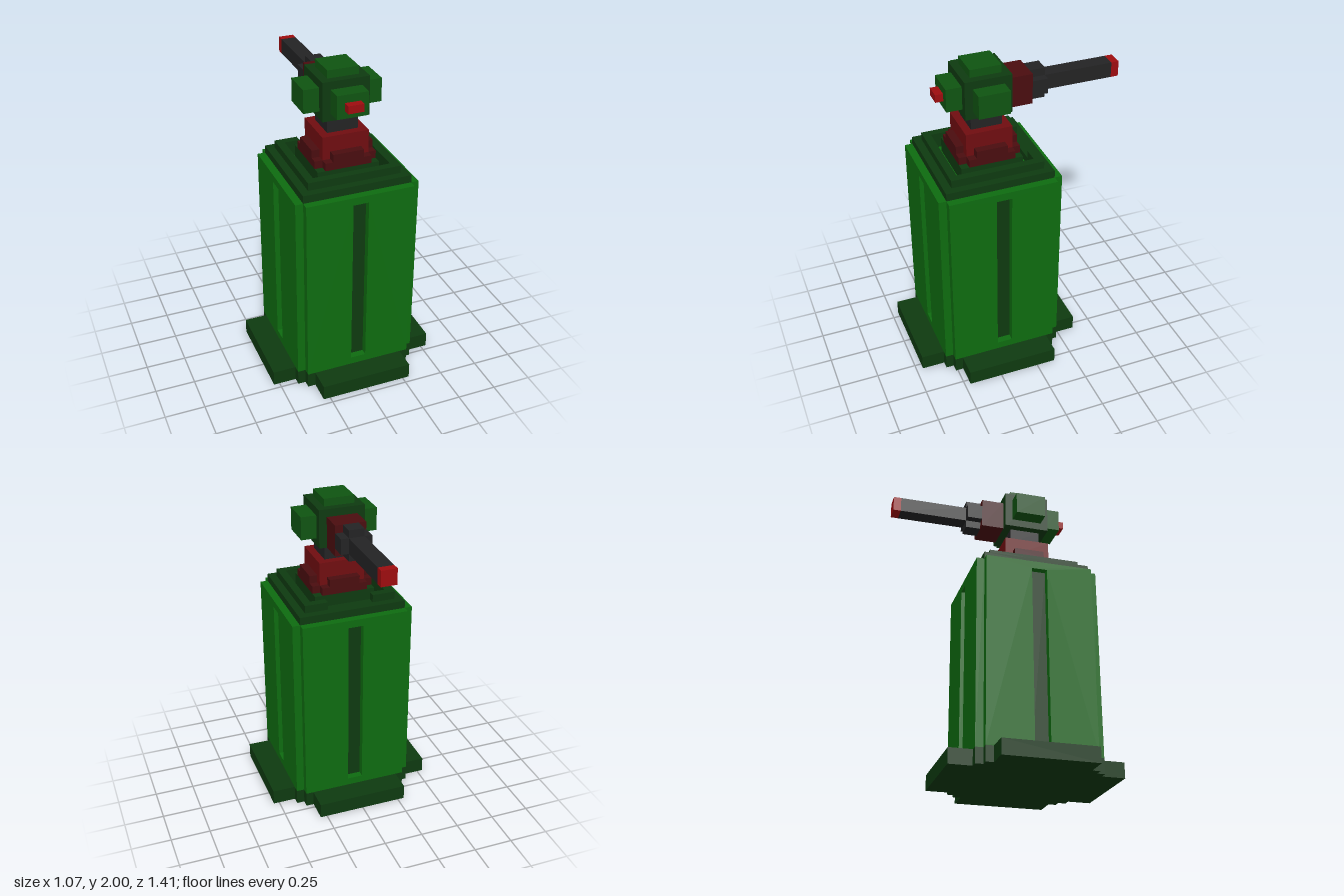
import * as THREE from 'three';

const U = 2 / 41; // one block of the grid; all sizes below are in blocks

const paint = (name, color) => {
  const m = new THREE.MeshStandardMaterial({ color });
  m.name = name;
  return m;
};

export function createModel() {
  const green = paint('leaf green', 0x0e6c10);
  const midGreen = paint('mid green', 0x0f5411);
  const darkGreen = paint('dark green', 0x0e3a10);
  const red = paint('red', 0x700d10);
  const darkRed = paint('dark red', 0x4a0d0f);
  const brightRed = paint('bright red', 0x9e0c0f);
  const grey = paint('charcoal', 0x232324);

  const turret = new THREE.Group();
  turret.name = 'turret';
  turret.scale.setScalar(U);
  turret.position.z = 3.5 * U;

  const add = (name, geometry, material, parent = turret) => {
    const mesh = new THREE.Mesh(geometry, material);
    mesh.name = name;
    parent.add(mesh);
    return mesh;
  };

  // Box given by its low and high limits on each axis
  const box = (name, mat, x0, x1, y0, y1, z0, z1, parent) => {
    const g = new THREE.BoxGeometry(x1 - x0, y1 - y0, z1 - z0);
    g.translate((x0 + x1) / 2, (y0 + y1) / 2, (z0 + z1) / 2);
    return add(name, g, mat, parent);
  };

  const outline = (pts) => pts.map(([x, y]) => new THREE.Vector2(x, y));
  const rect = (x, y0, y1) => outline([[-x, y0], [x, y0], [x, y1], [-x, y1]]);
  const extrude = (shape, depth) => new THREE.ExtrudeGeometry(shape, { depth, bevelEnabled: false });

  // Mirrors one quarter of an outline into the full stepped outline
  const fourfold = (q) => {
    const r = [...q].reverse();
    return new THREE.Shape(outline([
      ...q, ...r.map(([x, y]) => [-x, y]), ...q.map(([x, y]) => [-x, -y]), ...r.map(([x, y]) => [x, -y]),
    ]));
  };

  // Upright prism from a plan shape
  const prism = (name, mat, shape, y0, y1) =>
    add(name, extrude(shape, y1 - y0).rotateX(-Math.PI / 2).translate(0, y0, 0), mat);

  // Foot plate
  prism('footPlate', darkGreen,
    fourfold([[11, 6], [8, 6], [8, 7], [7, 7], [7, 8], [6, 8], [6, 11]]), 0, 2);

  // Tower body: core and four slotted side panels
  box('bodyCore', green, -7, 7, 2, 27, -7, 7);
  for (let i = 0; i < 4; i++) {
    const side = new THREE.Group();
    side.name = 'bodySide';
    side.rotation.y = (i * Math.PI) / 2;
    turret.add(side);
    const panel = new THREE.Shape(rect(7, 2, 27));
    panel.holes.push(new THREE.Path(rect(1, 3, 26)));
    add('slottedPanel', extrude(panel, 1).translate(0, 0, 7), green, side);
    box('slotFloor', darkGreen, -1, 1, 3, 26, 7, 7.1, side);
  }

  // Stepped rim around the top, the upper step open at the back
  const lowerRim = new THREE.Shape(rect(7, -7, 7));
  lowerRim.holes.push(new THREE.Path(rect(5, -5, 5)));
  prism('lowerRim', darkGreen, lowerRim, 27, 28);
  prism('upperRim', darkGreen, new THREE.Shape(outline([
    [3, 6], [-3, 6].map((v, i) => (i ? 5 : 3)), [5, 5], [5, -5], [-5, -5], [-5, 5],
    [-3, 5], [-3, 6], [-6, 6], [-6, -6], [6, -6], [6, 6],
  ])), 28, 29);

  // Pedestal
  box('pedestalPlate', darkGreen, -4, 4, 27, 29, -4, 4);
  prism('pedestalBase', darkRed, fourfold([[4, 3], [3, 3], [3, 4]]), 29, 30);
  prism('pedestalCross', darkRed, fourfold([[4, 2], [2, 2], [2, 4]]), 30, 31);
  box('pedestalBlock', red, -3, 3, 30, 33, -3, 3);
  box('neck', grey, -2, 2, 33, 35, -2, 2);

  // Head with raised plates
  box('head', darkGreen, -3, 3, 35, 40, -3, 3);
  box('headTop', midGreen, -2, 2, 40, 41, -2, 2);
  box('headFront', midGreen, -2, 2, 36, 39, 3, 5);
  for (const s of [-1, 1]) box('headSide', midGreen, s * 4 - 1, s * 4 + 1, 36, 39, -2, 2);
  box('frontLamp', brightRed, -1, 1, 37, 38, 5, 6);

  // Gun pointing backwards
  box('gunMount', darkRed, -2, 2, 35, 39, -6, -3);
  add('gunCollar', extrude(fourfold([[2, 1], [1, 1], [1, 2]]), 2).translate(0, 37, -8), grey);
  box('barrel', grey, -1, 1, 36, 38, -17, -8);
  box('muzzle', brightRed, -1, 1, 36, 38, -18, -17);

  const model = new THREE.Group();
  model.name = 'sentryTurret';
  model.add(turret);
  return model;
}
